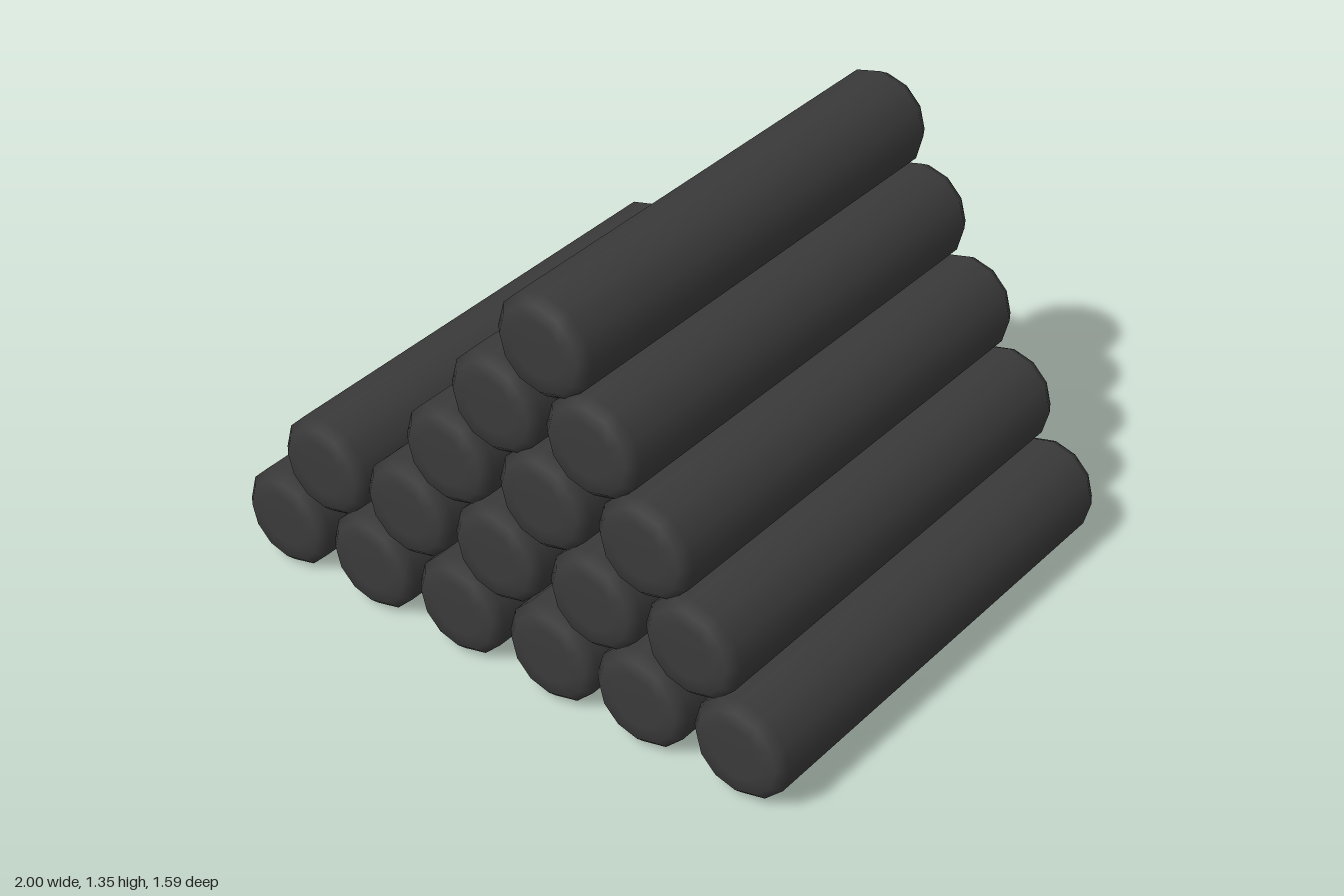
import * as THREE from 'three';

// Each row: height of the log centres, then their x positions
const ROWS = [
  { y: 0.163, xs: [-0.84, -0.5, -0.163, 0.178, 0.495, 0.835] },
  { y: 0.425, xs: [-0.668, -0.345, -0.012, 0.334, 0.668] },
  { y: 0.685, xs: [-0.182, 0.161, 0.508] },
  { y: 0.937, xs: [-0.002, 0.333] },
  { y: 1.19, xs: [0.174] },
];

// Twelve-sided log with softly bevelled ends, lying along z
function makeLogGeometry() {
  const profile = [
    [0, -0.797], [0.085, -0.797], [0.138, -0.79], [0.161, -0.75],
    [0.161, 0.765], [0.133, 0.793], [0.085, 0.797], [0, 0.797],
  ].map(([r, z]) => new THREE.Vector2(r, z));
  return new THREE.LatheGeometry(profile, 12).rotateX(Math.PI / 2);
}

export function createModel() {
  const model = new THREE.Group();
  model.name = 'logPile';
  const geometry = makeLogGeometry();
  const material = new THREE.MeshStandardMaterial({ color: 0x3a3a3a });

  // Stacked rows of logs
  ROWS.forEach(({ y, xs }, i) => {
    const row = new THREE.Group();
    row.name = `logRow${i + 1}`;
    xs.forEach((x, j) => {
      const log = new THREE.Mesh(geometry, material);
      log.name = `log${j + 1}`;
      log.position.set(x, y, 0);
      row.add(log);
    });
    model.add(row);
  });
  return model;
}
